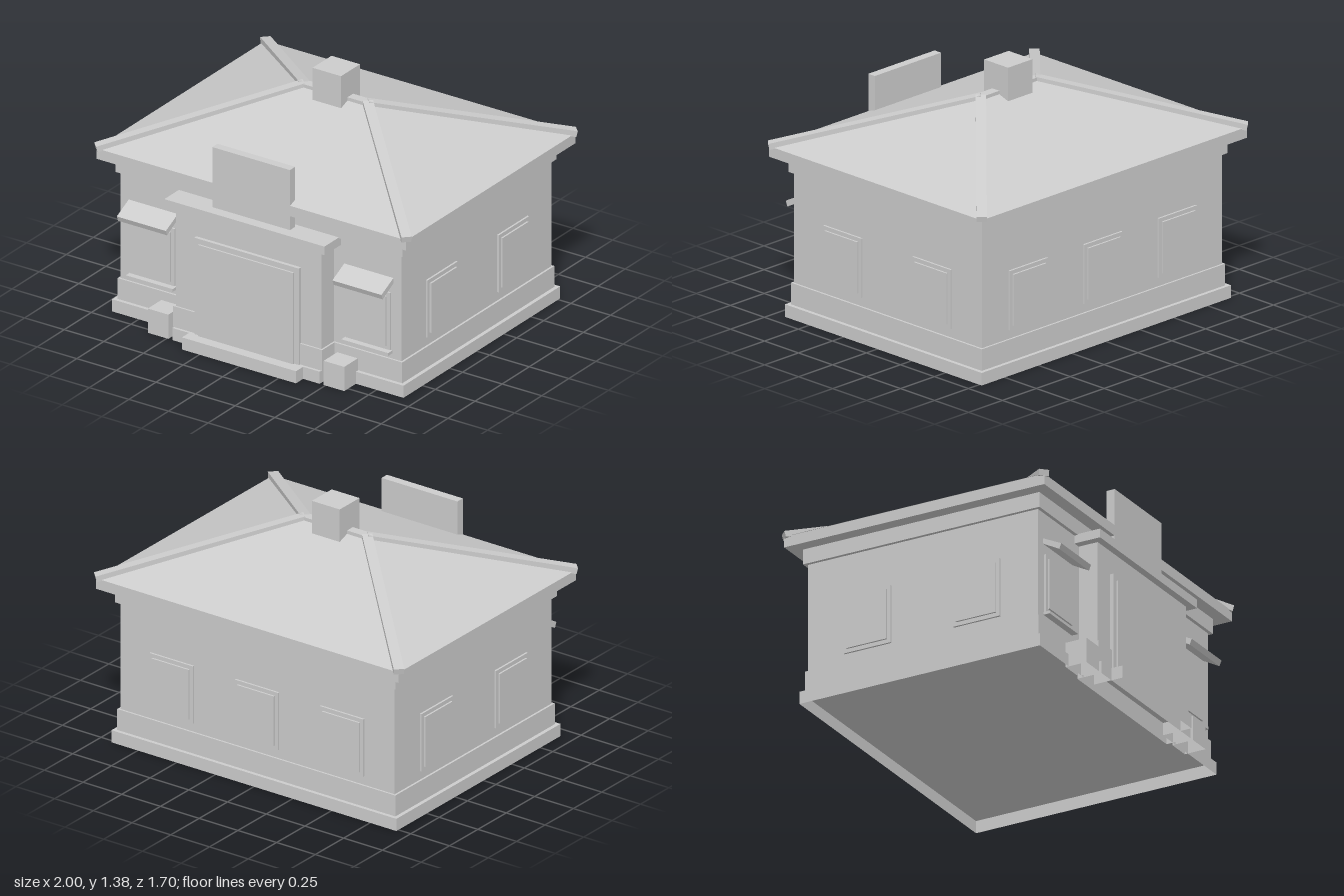
import * as THREE from 'three';

const stone = new THREE.MeshStandardMaterial({ color: 0xcccccc, side: THREE.DoubleSide });
stone.name = 'stone grey';

const CZ = -0.045; // middle of the building in z

export function createModel() {
  const house = new THREE.Group();
  house.name = 'house';

  function add(name, geometry, parent = house) {
    const mesh = new THREE.Mesh(geometry, stone);
    mesh.name = name;
    parent.add(mesh);
    return mesh;
  }

  // Box given by its limits; open leaves out the underside
  function box(name, x0, x1, y0, y1, z0, z1, open = false, parent = house) {
    const g = new THREE.BoxGeometry(x1 - x0, y1 - y0, z1 - z0);
    if (open) {
      const index = Array.from(g.index.array);
      index.splice(18, 6);
      g.setIndex(index);
      g.clearGroups();
    }
    g.translate((x0 + x1) / 2, (y0 + y1) / 2, (z0 + z1) / 2);
    return add(name, g, parent);
  }

  // Walls, plinth and cornice: half width, bottom, top, half depth
  const tiers = [
    ['basePlinth', 0.92, 0, 0.07, 0.723, true],
    ['upperPlinth', 0.898, 0.07, 0.19, 0.702],
    ['walls', 0.886, 0.19, 0.805, 0.691],
    ['lowerCornice', 0.905, 0.805, 0.89, 0.711],
    ['eaves', 0.977, 0.89, 0.95, 0.782],
  ];
  for (const [name, w, y0, y1, d, open] of tiers) box(name, -w, w, y0, y1, CZ - d, CZ + d, open);

  // Hip roof: four sloping faces up to a short ridge
  const w = 0.98, d = 0.782, y = 0.95;
  const [a, b, c, e] = [[-w, y, d], [w, y, d], [w, y, -d], [-w, y, -d]];
  const [l, r] = [[-0.2, 1.225, 0], [0.2, 1.225, 0]];
  const faces = [a, b, r, a, r, l, b, c, r, c, e, l, c, l, r, e, a, l];
  const roof = new THREE.BufferGeometry();
  roof.setAttribute('position', new THREE.Float32BufferAttribute(faces.flat(), 3));
  roof.computeVertexNormals();
  add('hipRoof', roof.translate(0, 0, CZ));

  // Ridge and hip caps
  box('ridgeCap', -0.2, 0.2, 1.205, 1.235, CZ - 0.026, CZ + 0.026);
  for (const sx of [-1, 1]) for (const sz of [-1, 1]) {
    const low = new THREE.Vector3(sx * 0.98, 0.955, CZ + sz * 0.782);
    const high = new THREE.Vector3(sx * 0.2, 1.222, CZ);
    const cap = add('hipCap', new THREE.BoxGeometry(0.055, 0.034, low.distanceTo(high)));
    cap.position.copy(low).lerp(high, 0.5);
    cap.lookAt(high);
  }
  box('chimney', -0.09, 0.09, 1.185, 1.38, -0.135, 0.04);

  // Entrance portal
  box('portal', -0.46, 0.46, 0.07, 0.76, 0.64, 0.76);
  box('portalBase', -0.465, 0.465, 0, 0.07, 0.64, 0.785, true);
  for (const s of [-1, 1]) {
    box('portalFoot', Math.min(s * 0.33, s * 0.47), Math.max(s * 0.33, s * 0.47), 0.07, 0.19, 0.64, 0.77);
    box('stepBlock', s * 0.555 - 0.065, s * 0.555 + 0.065, 0, 0.14, 0.66, 0.785, true);
  }
  box('lintel', -0.505, 0.505, 0.76, 0.81, 0.645, 0.8);
  box('doorFrame', -0.33, 0.33, 0.07, 0.627, 0.75, 0.78);
  box('door', -0.3, 0.3, 0.07, 0.597, 0.775, 0.79);
  box('doorStep', -0.36, 0.36, 0, 0.07, 0.68, 0.85, true);
  box('signBoard', -0.245, 0.245, 0.81, 1.157, 0.69, 0.738);

  // Window of a frame and a raised panel, facing +z before it is turned
  function makeWindow(name, x, z, turn) {
    const group = new THREE.Group();
    group.name = name;
    box('windowFrame', -0.14, 0.14, 0.24, 0.57, -0.01, 0.011, false, group);
    box('windowPanel', -0.12, 0.12, 0.262, 0.548, 0, 0.021, false, group);
    group.position.set(x, 0, z);
    group.rotation.y = turn;
    house.add(group);
    return group;
  }
  for (const s of [-1, 1]) {
    for (const z of [0.282, -0.375]) makeWindow('sideWindow', s * 0.886, z, s * Math.PI / 2);
  }
  for (const x of [-0.55, 0, 0.55]) makeWindow('backWindow', x, CZ - 0.691, Math.PI);

  // Front windows with sill and sloping awning
  const side = new THREE.Shape([[0.64, 0.66], [0.64, 0.63], [0.745, 0.573], [0.757, 0.603]]
    .map(([z, h]) => new THREE.Vector2(-z, h)));
  for (const s of [-1, 1]) {
    const win = makeWindow('frontWindow', s * 0.68, 0.646, 0);
    box('sill', -0.148, 0.148, 0.22, 0.236, -0.01, 0.038, false, win);
    const awning = add('awning', new THREE.ExtrudeGeometry(side, { depth: 0.31, bevelEnabled: false }));
    awning.rotation.y = Math.PI / 2;
    awning.position.x = s * 0.68 - 0.155;
  }
  return house;
}
